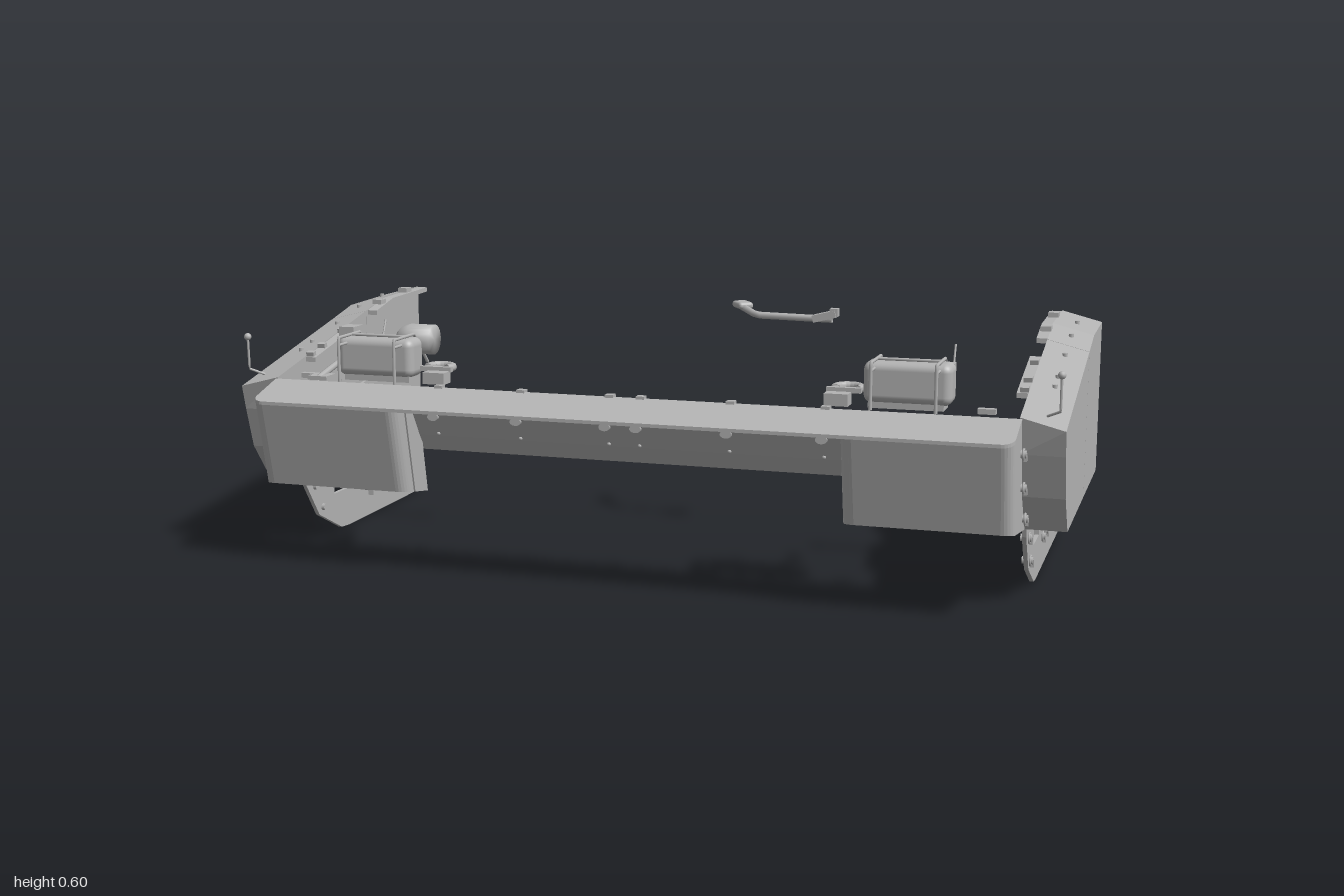
import * as THREE from 'three';
import { RoundedBoxGeometry } from 'three/addons/geometries/RoundedBoxGeometry.js';

const grey = new THREE.MeshStandardMaterial({ color: 0xb4b4b4, side: THREE.DoubleSide });
grey.name = 'primer grey';

export function createModel() {
  const model = new THREE.Group();
  model.name = 'frontHullFenders';

  const add = (name, geo, x = 0, y = 0, z = 0) => {
    const m = new THREE.Mesh(geo, grey);
    m.name = name;
    m.position.set(x, y, z);
    model.add(m);
    return m;
  };
  const box = (name, w, h, d, x, y, z, rx = 0) => {
    const m = add(name, new THREE.BoxGeometry(w, h, d), x, y, z);
    m.rotation.x = rx;
    return m;
  };
  const path = pts => pts.map(p => new THREE.Vector2(p[0], p[1]));

  // Side outline given as [z, y], extruded between two x positions
  const plateGeo = (pts, xa, xb, holes = []) => {
    const shape = new THREE.Shape(path(pts));
    holes.forEach(h => shape.holes.push(new THREE.Path(path(h))));
    const lo = Math.min(xa, xb), hi = Math.max(xa, xb);
    const g = new THREE.ExtrudeGeometry(shape, { depth: hi - lo, bevelEnabled: false });
    return g.rotateY(-Math.PI / 2).translate(hi, 0, 0);
  };
  // Thin bent sheet following a [z, y] line
  const sheet = (name, pts, xa, xb, dz, dy) => {
    const back = pts.map(p => [p[0] + dz, p[1] + dy]).reverse();
    return add(name, plateGeo([...pts, ...back], xa, xb));
  };
  const tube = (name, pts, r) => {
    const c = new THREE.CurvePath();
    const v = pts.map(p => new THREE.Vector3(...p));
    for (let i = 1; i < v.length; i++) c.add(new THREE.LineCurve3(v[i - 1], v[i]));
    return add(name, new THREE.TubeGeometry(c, (v.length - 1) * 6, r, 8));
  };
  // Front line in plan, [x, z], with both ends rounded back
  const roundedFront = (xa, xb, z, r, zBack) => {
    const pts = [[xa, zBack]];
    for (let i = 0; i <= 6; i++) {
      const a = i / 6 * Math.PI / 2;
      pts.push([xa + r * (1 - Math.cos(a)), z - r * (1 - Math.sin(a))]);
    }
    return [...pts, ...pts.map(p => [xa + xb - p[0], p[1]]).reverse()];
  };

  // Height of the fender's inner top edge
  const top = z => z > -0.14 ? 0.45 + (0.345 - z) * 0.2165
    : z > -0.25 ? 0.555 + (-0.14 - z) * 0.227 : 0.58 + (-0.25 - z) * 0.023;

  // Sloping cover across the bow with rounded corners
  const cover = new THREE.ExtrudeGeometry(
    new THREE.Shape(path(roundedFront(-0.905, 0.905, 0.468, 0.028, 0.345))),
    { depth: 0.008, bevelEnabled: false }).rotateX(Math.PI / 2);
  const cp = cover.attributes.position;
  for (let i = 0; i < cp.count; i++) cp.setY(i, cp.getY(i) + 0.447 - (cp.getZ(i) - 0.345) * 0.285);
  cover.computeVertexNormals();
  add('bowCover', cover);

  // Middle plate running down and back beneath the cover, ribbed behind
  sheet('bowPlate', [[0.44, 0.412], [0.385, 0.39], [0.35, 0.332], [0.32, 0.29]], -0.525, 0.525, -0.006, 0.004);
  for (const x of [-0.47, -0.26, -0.04, 0.035, 0.25, 0.47]) {
    const o = add('bowStud', new THREE.CylinderGeometry(0.014, 0.014, 0.008, 14).rotateX(Math.PI / 2), x, 0.382, 0.383);
    o.scale.y = 0.65;
    add('lowerStud', new THREE.SphereGeometry(0.005, 8, 6), x, 0.337, 0.353);
    for (const d of [-0.02, 0.02]) {
      sheet('rearRib', [[0.376, 0.382], [0.347, 0.334], [0.322, 0.298]], x + d - 0.004, x + d + 0.004, -0.014, 0.008);
    }
    box('rearRibTop', 0.048, 0.008, 0.014, x, 0.386, 0.37);
    box('coverClip', 0.02, 0.01, 0.02, x, 0.447, 0.342);
  }

  for (const s of [-1, 1]) {
    // Deep end of the bow: sloping front wrapped round both corners
    const line = roundedFront(0.526, 0.905, 0.468, 0.028, 0.425);
    const inside = roundedFront(0.533, 0.898, 0.461, 0.022, 0.425).reverse();
    const plan = [...line, ...inside].map(p => [s * p[0], p[1]]);
    const wrap = new THREE.ExtrudeGeometry(new THREE.Shape(path(plan)), { depth: 1, bevelEnabled: false })
      .rotateX(Math.PI / 2);
    const wp = wrap.attributes.position;
    for (let i = 0; i < wp.count; i++) {
      const z = wp.getZ(i), isTop = wp.getY(i) > -0.5;
      wp.setY(i, isTop ? 0.406 + (0.468 - z) * 0.285 : 0.203 - (0.468 - z) * 0.15);
      wp.setZ(i, isTop ? z : z - 0.047);
    }
    wrap.computeVertexNormals();
    add('cheekFront', wrap);
    add('outerCheek', plateGeo([[0.427, 0.418], [0.38, 0.197], [0.23, 0.174], [0.3, 0.265], [0.345, 0.442]], s * 0.898, s * 0.905));
    add('innerCheek', plateGeo([[0.427, 0.418], [0.38, 0.197], [0.31, 0.185], [0.33, 0.29], [0.345, 0.44]], s * 0.522, s * 0.529));

    // Fender box in two lengths, its top falling toward the outside
    const lengths = [
      [[0.23, 0.175], [0.3, 0.265], [0.33, 0.365], [0.345, top(0.345)], [-0.1385, top(-0.1385)], [-0.1385, 0.175]],
      [[-0.14, 0.175], [-0.14, top(-0.14)], [-0.25, 0.58], [-0.468, 0.585], [-0.468, 0.175]],
    ];
    for (const pts of lengths) {
      const g = plateGeo(pts, s * 0.9, s);
      const p = g.attributes.position;
      for (let i = 0; i < p.count; i++) {
        if (Math.abs(p.getX(i)) > 0.95 && p.getY(i) > 0.4) p.setY(i, p.getY(i) - 0.026);
      }
      g.computeVertexNormals();
      add('fender', g);
    }

    // Inner ledge along the top
    const ledge = (a, b) => sheet('fenderLedge', [[a, top(a) - 0.002], [b, top(b) - 0.002]], s * 0.873, s * 0.902, 0, -0.012);
    ledge(0.2, -0.03);
    ledge(-0.15, -0.25);
    ledge(-0.25, -0.468);

    // Hinges and fasteners on the top
    for (const z of [0.19, 0.13, 0.02]) box('topClip', 0.02, 0.014, 0.014, s * 0.89, top(z) + 0.002, z, 0.2);
    for (const z of [-0.2, -0.36]) box('topCatch', 0.026, 0.012, 0.03, s * 0.89, top(z) + 0.005, z);
    for (const z of [0.13, 0.07, -0.07, -0.2, -0.34]) add('topBolt', new THREE.CylinderGeometry(0.006, 0.006, 0.01, 8), s * 0.95, top(z) - 0.011, z);

    // Lower skirt plate with a slot
    add('skirt', plateGeo(
      [[0.23, 0.175], [0.225, 0.155], [0.16, 0.063], [0.04, 0.003], [0, 0], [-0.468, 0.002], [-0.468, 0.175]],
      s * 0.899, s * 0.909,
      [[[0.075, 0.1], [0.075, 0.135], [0.068, 0.142], [-0.025, 0.142], [-0.031, 0.135], [-0.031, 0.1]]]));

    // Ring bolts with a small key
    const bolts = [[0.18, 0.143], [0.14, 0.08], [0.348, 0.37], [0.325, 0.29], [0.277, 0.21]];
    for (const z of [-0.105, -0.168, -0.432]) bolts.push([z, 0.143], [z, 0.08]);
    for (const [z, y] of bolts) {
      add('skirtBolt', new THREE.CylinderGeometry(0.009, 0.009, 0.026, 12).rotateZ(Math.PI / 2), s * 0.904, y, z);
      add('boltRing', new THREE.TorusGeometry(0.011, 0.003, 6, 16).rotateY(Math.PI / 2), s * 0.911, y, z);
      box('boltKey', 0.008, 0.018, 0.004, s * 0.915, y - 0.007, z);
    }

    // Rails and brackets on the inner wall
    box('innerRail', 0.012, 0.014, 0.62, s * 0.895, 0.19, -0.15);
    box('middleRail', 0.008, 0.01, 0.6, s * 0.897, 0.37, -0.15, 0.15);
    for (const z of [-0.135, -0.43]) box('skirtBracket', 0.014, 0.13, 0.03, s * 0.892, 0.12, z);

    // Cross rod
    add('crossRod', new THREE.CylinderGeometry(0.01, 0.01, 0.33, 12).rotateZ(Math.PI / 2), s * 0.7, 0.27, -0.065);
    box('rodFoot', 0.02, 0.045, 0.04, s * 0.868, 0.27, -0.065);
    box('rodEnd', 0.02, 0.022, 0.026, s * 0.545, 0.27, -0.065);

    // Corner marker stick
    tube('markerStick', [[s * 0.955, 0.45, 0.31], [s * 0.985, 0.465, 0.33], [s * 0.985, 0.54, 0.333]], 0.003);
    add('markerBall', new THREE.SphereGeometry(0.009, 10, 8), s * 0.985, 0.545, 0.333);

    // Lamp housing with cooling fins and base
    add('lampHousing', new RoundedBoxGeometry(0.2, 0.095, 0.075, 3, 0.02), s * 0.648, 0.507, 0.291);
    box('lampBase', 0.17, 0.018, 0.06, s * 0.645, 0.458, 0.29);
    for (let i = 0; i < 7; i++) box('lampFin', 0.007, 0.06, 0.01, s * (0.573 + i * 0.025), 0.507, 0.253);

    // Guard hoops around the lamp
    for (const x of [0.575, 0.72]) {
      tube('lampGuard', [[s * x, 0.452, 0.368], [s * x, 0.558, 0.368], [s * x, 0.558, 0.255], [s * x, 0.535, 0.23], [s * x, 0.48, 0.18]], 0.004);
      tube('guardBrace', [[s * x, 0.54, 0.368], [s * x, 0.54, 0.262], [s * x, 0.46, 0.25]], 0.0035);
    }
    tube('guardBar', [[s * 0.575, 0.558, 0.3], [s * 0.72, 0.558, 0.3]], 0.0035);

    // Cable with its plug
    tube('cable', [[s * 0.69, 0.49, 0.26], [s * 0.71, 0.52, 0.2], [s * 0.72, 0.525, 0.13], [s * 0.72, 0.57, 0.11]], 0.0025);
    box('cablePlug', 0.02, 0.018, 0.03, s * 0.72, 0.526, 0.17);

    // Tow shackle with its mount, closed toward the rear
    const bow = [];
    for (let i = 0; i <= 10; i++) {
      const a = -0.6 + i / 10 * (Math.PI + 1.2);
      bow.push([s * 0.503 + 0.03 * Math.cos(a), 0.482, 0.262 - 0.03 * Math.sin(a)]);
    }
    tube('shackle', bow, 0.01);
    box('shackleMount', 0.055, 0.028, 0.04, s * 0.49, 0.465, 0.315);
    box('shacklePin', 0.08, 0.012, 0.014, s * 0.5, 0.482, 0.293);
    box('smallBlock', 0.04, 0.012, 0.018, s * 0.825, 0.455, 0.318);
  }

  // Domed horn behind the right lamp
  const dome = [[0, -0.05], [0.037, -0.05], [0.037, 0.012], [0.03, 0.034], [0.018, 0.046], [0, 0.05]];
  add('horn', new THREE.LatheGeometry(path(dome), 24).rotateZ(Math.PI / 2), -0.6, 0.537, 0.19);
  box('hornBracket', 0.02, 0.05, 0.03, -0.6, 0.487, 0.215);

  // Upright fitting on the right side
  tube('fittingArm', [[-0.785, 0.455, 0.35], [-0.785, 0.475, 0.26], [-0.785, 0.49, 0.12]], 0.008);
  add('fittingPost', new THREE.CylinderGeometry(0.014, 0.018, 0.08, 12), -0.785, 0.49, 0.19);
  box('fittingHead', 0.04, 0.03, 0.05, -0.785, 0.545, 0.175);
  box('fittingFoot', 0.05, 0.01, 0.05, -0.785, 0.456, 0.335);

  // Separate cranked handle above the hull
  tube('crankArm', [[0.105, 0.588, -0.275], [0.16, 0.576, -0.212], [0.36, 0.574, -0.2]], 0.009);
  const pad = add('crankPad', new RoundedBoxGeometry(0.04, 0.018, 0.06, 2, 0.008), 0.105, 0.592, -0.282);
  pad.rotation.y = 0.6;
  box('crankGrip', 0.06, 0.018, 0.033, 0.342, 0.582, -0.198).rotation.z = 0.25;
  box('crankTip', 0.02, 0.02, 0.025, 0.366, 0.592, -0.198);

  return model;
}
